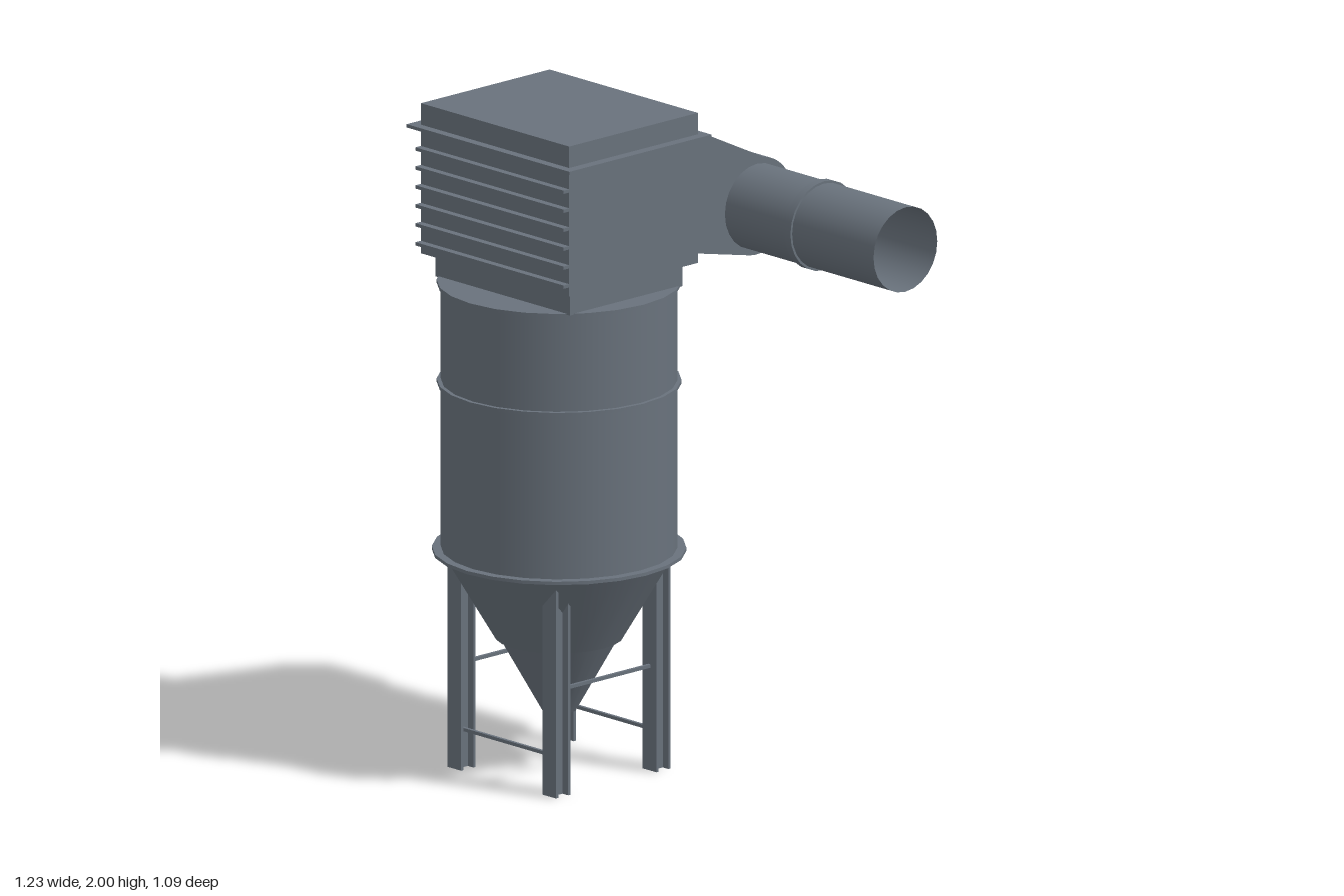
import * as THREE from 'three';

export function createModel() {
  const model = new THREE.Group();
  model.name = 'dustCollector';
  const steel = new THREE.MeshStandardMaterial({ color: 0x69727c });
  steel.name = 'blue grey steel';
  const openSteel = steel.clone();
  openSteel.side = THREE.DoubleSide;

  const CX = -0.245, CZ = 0.175; // vertical axis of the vessel

  function add(name, geometry, x = 0, y = 0, z = 0, material = steel, parent = model) {
    const mesh = new THREE.Mesh(geometry, material);
    mesh.name = name;
    mesh.position.set(x, y, z);
    parent.add(mesh);
    return mesh;
  }
  // Box given by its lower and upper limits
  function box(name, x0, x1, y0, y1, z0, z1, parent = model) {
    return add(name, new THREE.BoxGeometry(x1 - x0, y1 - y0, z1 - z0),
      (x0 + x1) / 2, (y0 + y1) / 2, (z0 + z1) / 2, steel, parent);
  }
  // Upright round section around the vessel axis
  function round(name, rTop, rBottom, y0, y1) {
    return add(name, new THREE.CylinderGeometry(rTop, rBottom, y1 - y0, 24), CX, (y0 + y1) / 2, CZ);
  }

  // Vessel, hopper and flanges
  round('vesselBody', 0.345, 0.345, 0.665, 1.475);
  round('upperHopper', 0.345, 0.188, 0.4, 0.665);
  round('lowerHopper', 0.175, 0.05, 0.177, 0.4);
  round('bottomFlange', 0.371, 0.371, 0.66, 0.67);
  round('middleFlange', 0.357, 0.357, 1.168, 1.178);
  round('topFlange', 0.357, 0.357, 1.468, 1.478);

  // Filter housing
  box('housingNeck', -0.53, 0.04, 1.475, 1.545, -0.05, 0.402);
  box('filterHousing', -0.558, 0.07, 1.545, 2, -0.083, 0.433);
  box('housingFlange', -0.59, 0.1, 1.925, 1.935, -0.11, 0.46);
  for (let i = 0; i < 6; i++) {
    const y = 1.578 + i * 0.0575;
    box('frontRib', -0.558, 0.07, y - 0.005, y + 0.005, 0.43, 0.455);
  }

  // Fan casing: sloped profile with a rounded end, extruded along x
  const profile = new THREE.Shape();
  profile.moveTo(0.08, 1.545);
  profile.lineTo(0.14, 1.545);
  profile.absarc(0.4, 1.637, 0.147, -1.75, 1.4, false);
  profile.lineTo(0.14, 1.922);
  profile.lineTo(0.08, 1.922);
  profile.closePath();
  function casing(name, x0, x1) {
    const g = new THREE.ExtrudeGeometry(profile, { depth: x1 - x0, bevelEnabled: false, curveSegments: 10 });
    g.rotateY(Math.PI / 2);
    add(name, g, x0, 0, 0);
  }
  casing('fanCasing', -0.19, -0.015);
  casing('fanSidePlate', -0.2, -0.19);
  box('sidePlateUpright', -0.207, -0.2, 1.515, 1.845, -0.29, -0.28);
  box('sidePlateCrossRib', -0.207, -0.2, 1.635, 1.645, -0.5, -0.085);

  // Outlet pipe with open end
  function pipe(name, r, x0, x1, open) {
    const g = new THREE.CylinderGeometry(r, r, x1 - x0, 24, 1, true);
    g.rotateZ(-Math.PI / 2);
    add(name, g, (x0 + x1) / 2, 1.637, -0.4, open);
  }
  pipe('outletPipe', 0.128, -0.015, 0.615, openSteel);
  pipe('pipeCollar', 0.135, 0.245, 0.27, openSteel);
  for (const x of [0.245, 0.27]) {
    const g = new THREE.RingGeometry(0.127, 0.135, 24);
    g.rotateY(Math.PI / 2);
    add('collarEdge', g, x, 1.637, -0.4, openSteel);
  }

  // Four beam legs, running up into the hopper
  const legShape = new THREE.Shape();
  const half = 0.029, web = 0.005, inner = 0.02;
  [[-half, -half], [half, -half], [half, -inner], [web, -inner], [web, inner], [half, inner],
    [half, half], [-half, half], [-half, inner], [-web, inner], [-web, -inner], [-half, -inner]]
    .forEach(([x, y], i) => (i ? legShape.lineTo(x, y) : legShape.moveTo(x, y)));
  const legGeometry = new THREE.ExtrudeGeometry(legShape, { depth: 0.655, bevelEnabled: false });
  legGeometry.rotateX(-Math.PI / 2);
  for (const sx of [-1, 1]) {
    for (const sz of [-1, 1]) add('leg', legGeometry, CX + sx * 0.201, 0, CZ + sz * 0.201);
  }

  // Thin braces between the legs: low at front and back, higher at the sides
  for (const s of [-1, 1]) {
    const p = s * 0.201;
    box('lowBrace', CX - 0.2, CX + 0.2, 0.112, 0.122, CZ + p - 0.005, CZ + p + 0.005);
    box('sideBrace', CX + p - 0.005, CX + p + 0.005, 0.312, 0.322, CZ - 0.2, CZ + 0.2);
  }

  return model;
}
